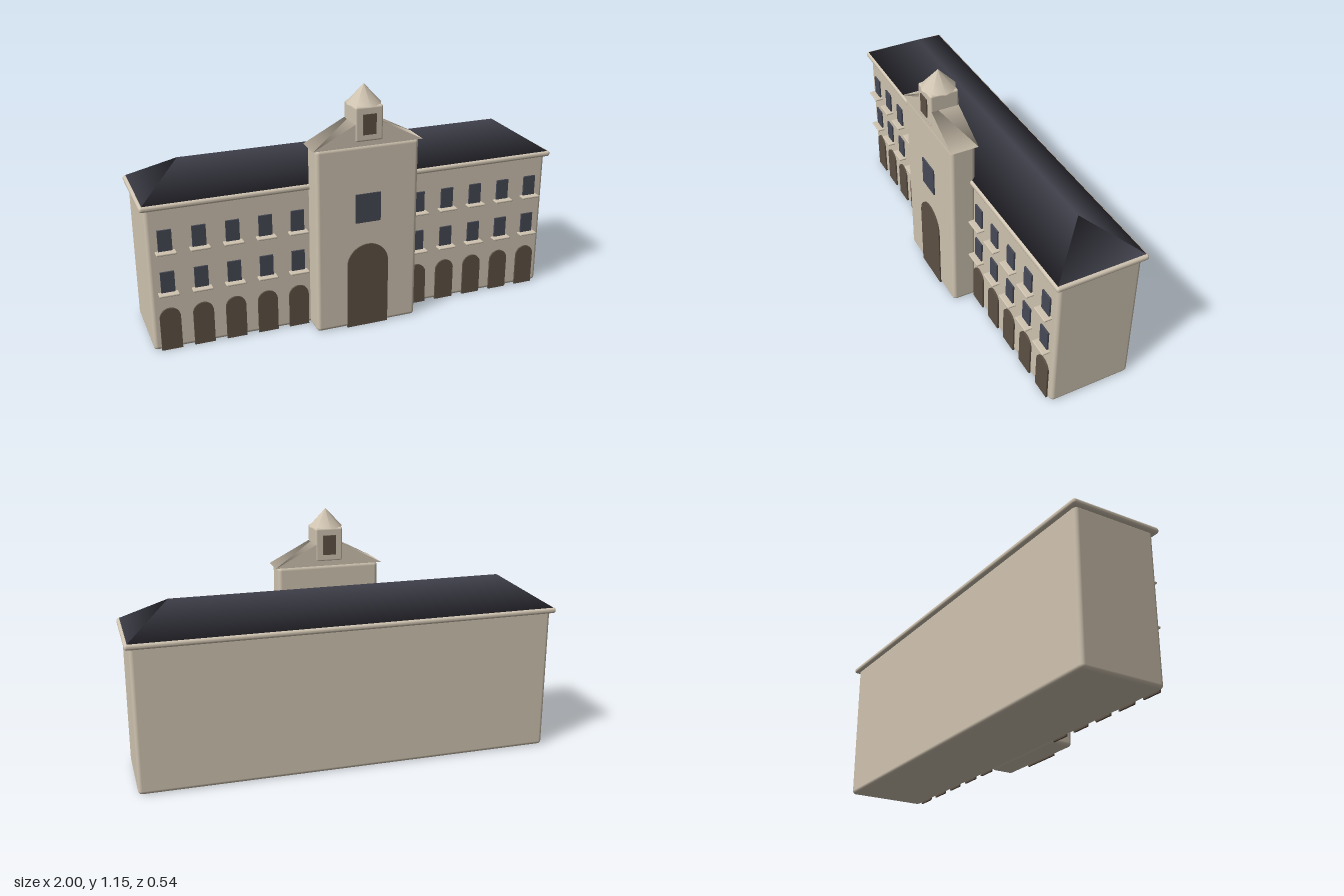
import * as THREE from 'three';
import { RoundedBoxGeometry } from 'three/addons/geometries/RoundedBoxGeometry.js';

export function createModel() {
  const model = new THREE.Group();
  model.name = 'townHall';

  const material = (name, color) => {
    const m = new THREE.MeshStandardMaterial({ color });
    m.name = name;
    return m;
  };
  const stone = material('stone', 0xd0c4b1);
  const slate = material('slate', 0x40404b);
  const glass = material('glass', 0x474a56);
  const wood = material('darkWood', 0x5e5145);

  const add = (name, geometry, mat, x = 0, y = 0, z = 0) => {
    const mesh = new THREE.Mesh(geometry, mat);
    mesh.name = name;
    mesh.position.set(x, y, z);
    model.add(mesh);
    return mesh;
  };

  // Boxes are given by their limits along each axis
  const block = (name, mat, [x0, x1], [y0, y1], [z0, z1], radius = 0) => {
    const size = [x1 - x0, y1 - y0, z1 - z0];
    const geometry = radius
      ? new RoundedBoxGeometry(...size, 3, radius)
      : new THREE.BoxGeometry(...size);
    return add(name, geometry, mat, (x0 + x1) / 2, (y0 + y1) / 2, (z0 + z1) / 2);
  };

  // Round-headed plate standing on the ground
  const archGeometry = (r, height, depth) => {
    const s = new THREE.Shape();
    s.moveTo(-r, 0);
    s.lineTo(r, 0);
    s.lineTo(r, height - r);
    s.absarc(0, height - r, r, 0, Math.PI, false);
    s.lineTo(-r, 0);
    return new THREE.ExtrudeGeometry(s, { depth, bevelEnabled: false, curveSegments: 16 });
  };

  // Long wing with cornice
  block('mainBuilding', stone, [-0.98, 0.98], [0, 0.69], [-0.25, 0.14], 0.018);
  block('cornice', stone, [-1, 1], [0.675, 0.702], [-0.27, 0.16], 0.012);

  // Hipped roof
  const roof = new THREE.BufferGeometry();
  roof.setAttribute('position', new THREE.Float32BufferAttribute([
    -0.99, 0.7, 0.153, 0.99, 0.7, 0.153, 0.99, 0.7, -0.263, -0.99, 0.7, -0.263,
    -0.785, 0.83, -0.055, 0.785, 0.83, -0.055], 3));
  roof.setIndex([0, 1, 5, 0, 5, 4, 2, 3, 4, 2, 4, 5, 1, 2, 5, 3, 0, 4, 0, 3, 2, 0, 2, 1]);
  roof.computeVertexNormals();
  add('mainRoof', roof, slate);

  // Wing arcade and two rows of windows with sills
  const wingArch = archGeometry(0.047, 0.205, 0.009);
  for (const side of [-1, 1]) {
    for (let i = 0; i < 5; i++) {
      const x = side * (0.3 + i * 0.15);
      add('arcadeArch', wingArch, wood, x, 0, 0.139);
      for (const y of [0.285, 0.483]) {
        block('wingWindow', glass, [x - 0.031, x + 0.031], [y, y + 0.098], [0.139, 0.148]);
        block('windowSill', stone, [x - 0.045, x + 0.045], [y - 0.01, y], [0.135, 0.176], 0.004);
      }
    }
  }

  // Central tower, portal and window
  block('tower', stone, [-0.245, 0.245], [0, 0.887], [0.132, 0.25], 0.018);
  add('portal', archGeometry(0.1, 0.413, 0.009), wood, 0, 0, 0.247);
  block('towerWindow', glass, [-0.06, 0.06], [0.522, 0.66], [0.247, 0.256]);

  // Softly shaded triangular gable across the tower top
  const gable = new THREE.CylinderGeometry(0.3, 0.3, 0.13, 3);
  gable.rotateX(-Math.PI / 2);  // apex up, axis front to back
  gable.scale(1, 0.3, 1);
  add('towerGable', gable, stone, 0, 0.93, 0.19);

  // Belfry with openings front and back
  block('belfry', stone, [-0.066, 0.066], [0.905, 1.065], [0.123, 0.259], 0.01);
  for (const z of [0.1185, 0.2635]) {
    block('belfryOpening', wood, [-0.031, 0.031], [0.938, 1.03], [z - 0.0045, z + 0.0045]).position.z
      = z + (z < 0.19 ? 0.003 : -0.003);
  }
  add('belfryRoof', new THREE.ConeGeometry(0.081, 0.087, 8), stone, 0, 1.1055, 0.19);

  return model;
}
